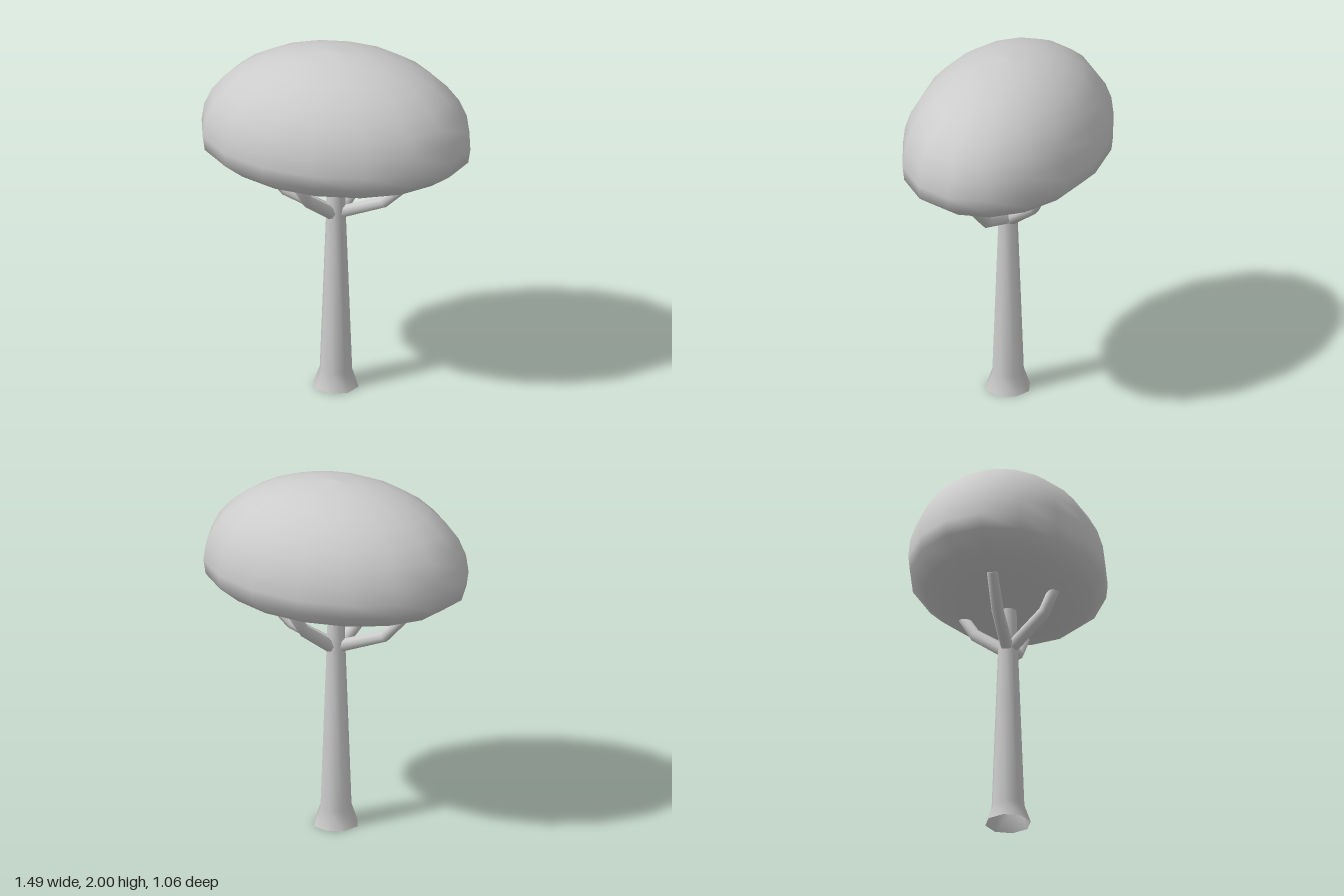
import * as THREE from 'three';

const material = new THREE.MeshStandardMaterial({ color: 0xcccccc, side: THREE.DoubleSide });

function lathe(name, profile, sides) {
  const points = profile.map(([r, y]) => new THREE.Vector2(r, y));
  const mesh = new THREE.Mesh(new THREE.LatheGeometry(points, sides), material);
  mesh.name = name;
  return mesh;
}

// Tapered limb swept through a few points, closed at both ends
function limb(name, path, radii, sides = 8) {
  const pts = path.map((p) => new THREE.Vector3(...p));
  const last = pts.length - 1;
  const side = new THREE.Vector3().subVectors(pts[last], pts[0]).cross(new THREE.Vector3(0, 1, 0)).normalize();
  const positions = [];
  const index = [];
  const addRing = (i, radius) => {
    const dir = new THREE.Vector3().subVectors(pts[Math.min(i + 1, last)], pts[Math.max(i - 1, 0)]).normalize();
    const u = side.clone().addScaledVector(dir, -side.dot(dir)).normalize();
    const v = new THREE.Vector3().crossVectors(dir, u);
    for (let k = 0; k < sides; k++) {
      const a = (k / sides) * Math.PI * 2;
      const p = pts[i].clone().addScaledVector(u, Math.cos(a) * radius).addScaledVector(v, Math.sin(a) * radius);
      positions.push(p.x, p.y, p.z);
    }
  };
  addRing(0, 0);
  pts.forEach((_, i) => addRing(i, radii[i]));
  addRing(last, 0);
  for (let r = 0; r < pts.length + 1; r++) {
    for (let k = 0; k < sides; k++) {
      const a = r * sides + k;
      const b = r * sides + ((k + 1) % sides);
      index.push(a, b, b + sides, a, b + sides, a + sides);
    }
  }
  const geometry = new THREE.BufferGeometry();
  geometry.setAttribute('position', new THREE.Float32BufferAttribute(positions, 3));
  geometry.setIndex(index);
  geometry.computeVertexNormals();
  const mesh = new THREE.Mesh(geometry, material);
  mesh.name = name;
  return mesh;
}

export function createModel() {
  const tree = new THREE.Group();
  tree.name = 'tree';

  // Trunk with a flared, open foot
  tree.add(lathe('trunk', [[0.125, 0], [0.09, 0.1], [0.055, 1.02], [0.045, 1.32]], 8));

  // Four bent branches reaching the underside of the canopy
  const radii = [0.035, 0.033, 0.03];
  tree.add(
    limb('leftBranch', [[0.03, 1.04, 0], [0.26, 1.125, 0], [0.44, 1.29, 0]], radii),
    limb('rightBranch', [[-0.03, 1.04, 0], [-0.28, 1.135, 0], [-0.43, 1.3, 0]], radii),
    limb('frontBranch', [[-0.02, 1.04, 0.03], [-0.1, 1.19, 0.22], [-0.14, 1.3, 0.28]], radii),
    limb('backBranch', [[0.02, 1.04, -0.03], [0.1, 1.18, -0.2], [0.14, 1.3, -0.27]], radii)
  );

  // Canopy: flattened underside below a half-ellipsoid dome
  const profile = [[0, 1.256], [0.23, 1.267], [0.44, 1.292], [0.62, 1.342], [0.733, 1.42]];
  for (let i = 0; i <= 8; i++) {
    const a = (i / 8) * Math.PI / 2;
    profile.push([i === 8 ? 0 : 0.745 * Math.cos(a), 1.5 + 0.5 * Math.sin(a)]);
  }
  const canopy = lathe('canopy', profile, 16);
  canopy.scale.z = 0.53 / 0.745;
  tree.add(canopy);

  return tree;
}
